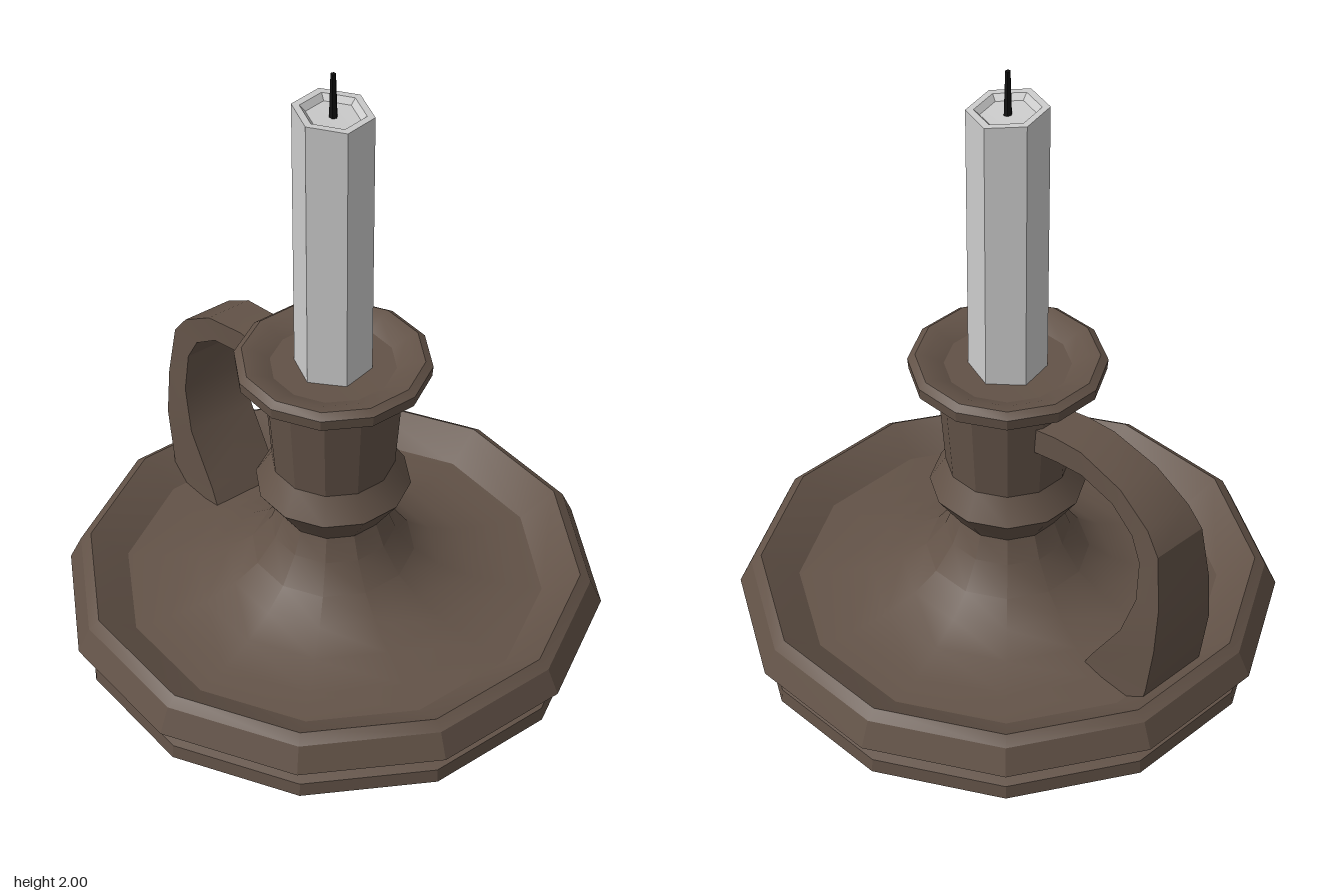
import * as THREE from 'three';
import { toCreasedNormals } from 'three/addons/utils/BufferGeometryUtils.js';

const rad = THREE.MathUtils.degToRad;
const material = (color) => new THREE.MeshStandardMaterial({ color });

function part(name, geometry, mat) {
  const mesh = new THREE.Mesh(toCreasedNormals(geometry, 0.45), mat);
  mesh.name = name;
  return mesh;
}

function lathe(profile, sides, startDegrees) {
  const points = profile.map(([r, y]) => new THREE.Vector2(r, y));
  return new THREE.LatheGeometry(points, sides, rad(startDegrees));
}

// Strap swept through [outerR, outerY, innerR, innerY, halfWidth] stations
function strap(stations) {
  const positions = [];
  const index = [];
  for (const [ro, yo, ri, yi, h] of stations) {
    positions.push(ro, yo, h, ro, yo, -h, ri, yi, -h, ri, yi, h);
  }
  for (let i = 0; i < stations.length - 1; i++) {
    for (let k = 0; k < 4; k++) {
      const a = i * 4 + k;
      const b = i * 4 + ((k + 1) % 4);
      index.push(a, b, b + 4, a, b + 4, a + 4);
    }
  }
  // End caps
  const e = (stations.length - 1) * 4;
  index.push(0, 2, 1, 0, 3, 2, e, e + 1, e + 2, e, e + 2, e + 3);
  const geometry = new THREE.BufferGeometry();
  geometry.setAttribute('position', new THREE.Float32BufferAttribute(positions, 3));
  geometry.setIndex(index);
  return geometry;
}

export function createModel() {
  const group = new THREE.Group();
  group.name = 'candlestick';
  const bronze = material(0x625247);

  // Foot, dish, stem and cup turned as one twelve-sided piece
  const holder = [
    [0, 0], [0.8, 0], [0.795, 0.045], [0.735, 0.062], [0.848, 0.14],
    [0.81, 0.22], [0.777, 0.243],
    [0.66, 0.17], [0.55, 0.175], [0.43, 0.2], [0.33, 0.24],
    [0.255, 0.295], [0.195, 0.38], [0.165, 0.455],
    [0.24, 0.565], [0.19, 0.645], [0.21, 0.92],
    [0.295, 0.985], [0.298, 1.02], [0.275, 1.036],
    [0.24, 1.03], [0.19, 1.005], [0, 1.0],
  ];
  group.add(part('holder', lathe(holder, 12, 4), bronze));

  // Handle, wide and thick at the dish, narrow where it meets the stem
  const handle = part('handle', strap([
    [0.69, 0.15, 0.44, 0.15, 0.125],
    [0.71, 0.24, 0.49, 0.24, 0.12],
    [0.735, 0.41, 0.6, 0.41, 0.12],
    [0.735, 0.57, 0.645, 0.55, 0.107],
    [0.71, 0.745, 0.64, 0.68, 0.093],
    [0.66, 0.81, 0.6, 0.755, 0.085],
    [0.54, 0.885, 0.51, 0.815, 0.076],
    [0.375, 0.922, 0.38, 0.84, 0.07],
    [0.27, 0.915, 0.28, 0.83, 0.07],
    [0.17, 0.895, 0.17, 0.81, 0.07],
  ]), bronze);
  handle.rotation.y = rad(138.4);
  group.add(handle);

  // Six-sided candle with a hollowed, slightly tilted top
  const candleGeometry = lathe([
    [0, 0.99], [0.118, 0.99], [0.118, 1.882], [0.095, 1.882], [0.078, 1.865], [0, 1.862],
  ], 6, 31);
  const p = candleGeometry.attributes.position;
  for (let i = 0; i < p.count; i++) {
    if (p.getY(i) > 1.5) p.setY(i, p.getY(i) - 0.08 * p.getX(i));
  }
  group.add(part('candle', candleGeometry, material(0xcccccc)));

  // Wick
  const wick = part('wick', new THREE.CylinderGeometry(0.008, 0.013, 0.15, 6), material(0x111111));
  wick.position.y = 1.925;
  group.add(wick);

  return group;
}
